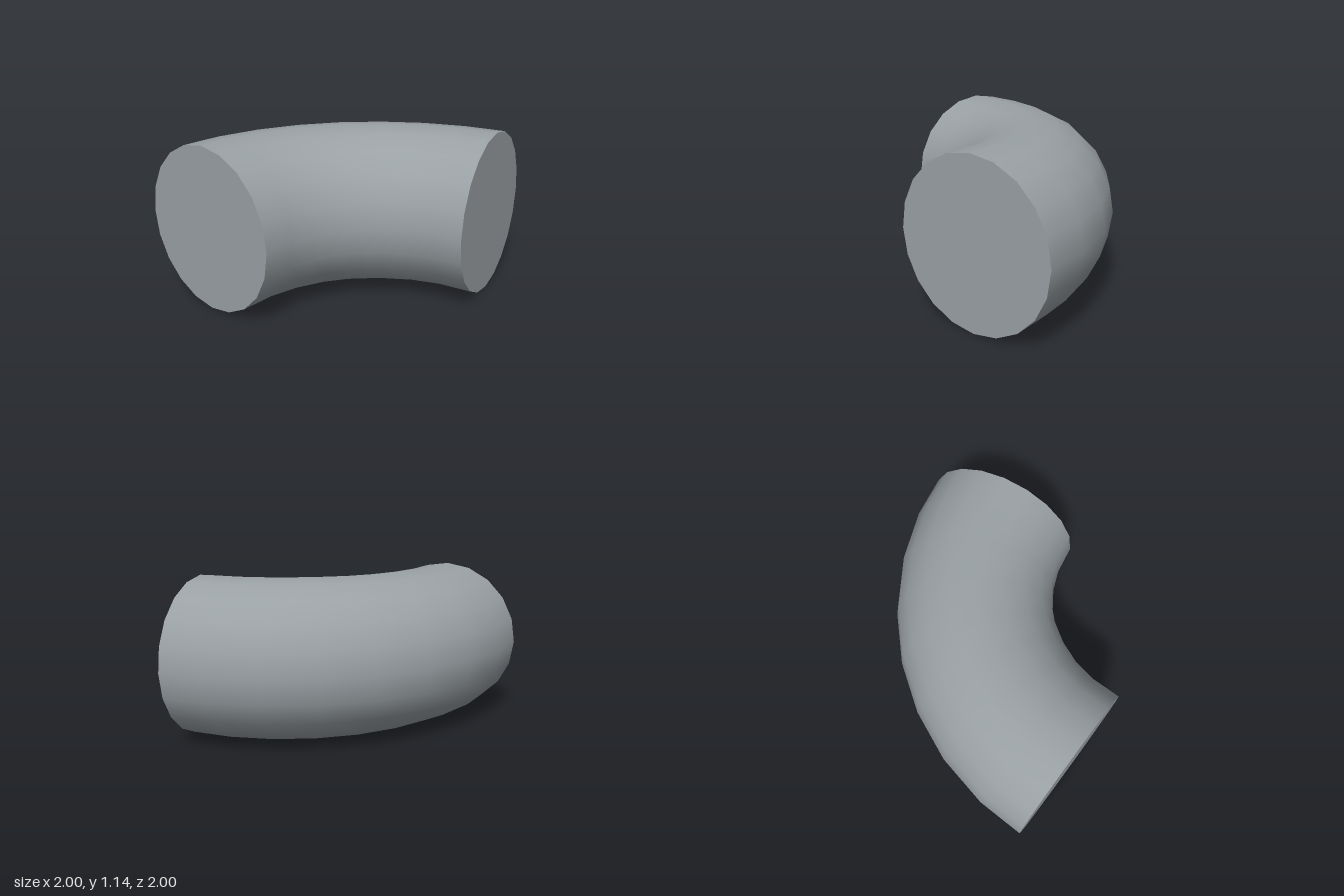
import * as THREE from 'three';

const TUBE_RADIUS = 0.571;
const BEND_RADIUS = 1.376;
const BEND_CENTRE = 0.944;
const SEGMENTS = 8;
const SIDES = 20;

// Quarter-circle path; the end rings keep the direction of their straight end segments
class ElbowCurve extends THREE.Curve {
  getPoint(t, target = new THREE.Vector3()) {
    const a = t * Math.PI / 2;
    return target.set(
      BEND_CENTRE - BEND_RADIUS * Math.cos(a),
      TUBE_RADIUS,
      BEND_CENTRE - BEND_RADIUS * Math.sin(a)
    );
  }

  getTangent(t, target = new THREE.Vector3()) {
    const half = 0.5 / SEGMENTS;
    const a = THREE.MathUtils.clamp(t, half, 1 - half) * Math.PI / 2;
    return target.set(Math.sin(a), 0, -Math.cos(a));
  }
}

export function createModel() {
  const model = new THREE.Group();
  model.name = 'pipeElbow';

  const grey = new THREE.MeshStandardMaterial({ color: 0x9aa1a5 });
  grey.name = 'grey';

  // Smooth bent pipe wall
  const curve = new ElbowCurve();
  const pipe = new THREE.Mesh(
    new THREE.TubeGeometry(curve, SEGMENTS, TUBE_RADIUS, SIDES, false), grey);
  pipe.name = 'bentPipe';
  model.add(pipe);

  // Flat caps closing both ends
  const capGeometry = new THREE.CircleGeometry(TUBE_RADIUS, SIDES);
  for (const [name, t, sign] of [['frontCap', 0, -1], ['sideCap', 1, 1]]) {
    const cap = new THREE.Mesh(capGeometry, grey);
    cap.name = name;
    cap.position.copy(curve.getPoint(t));
    cap.lookAt(curve.getTangent(t).multiplyScalar(sign).add(cap.position));
    model.add(cap);
  }

  return model;
}
